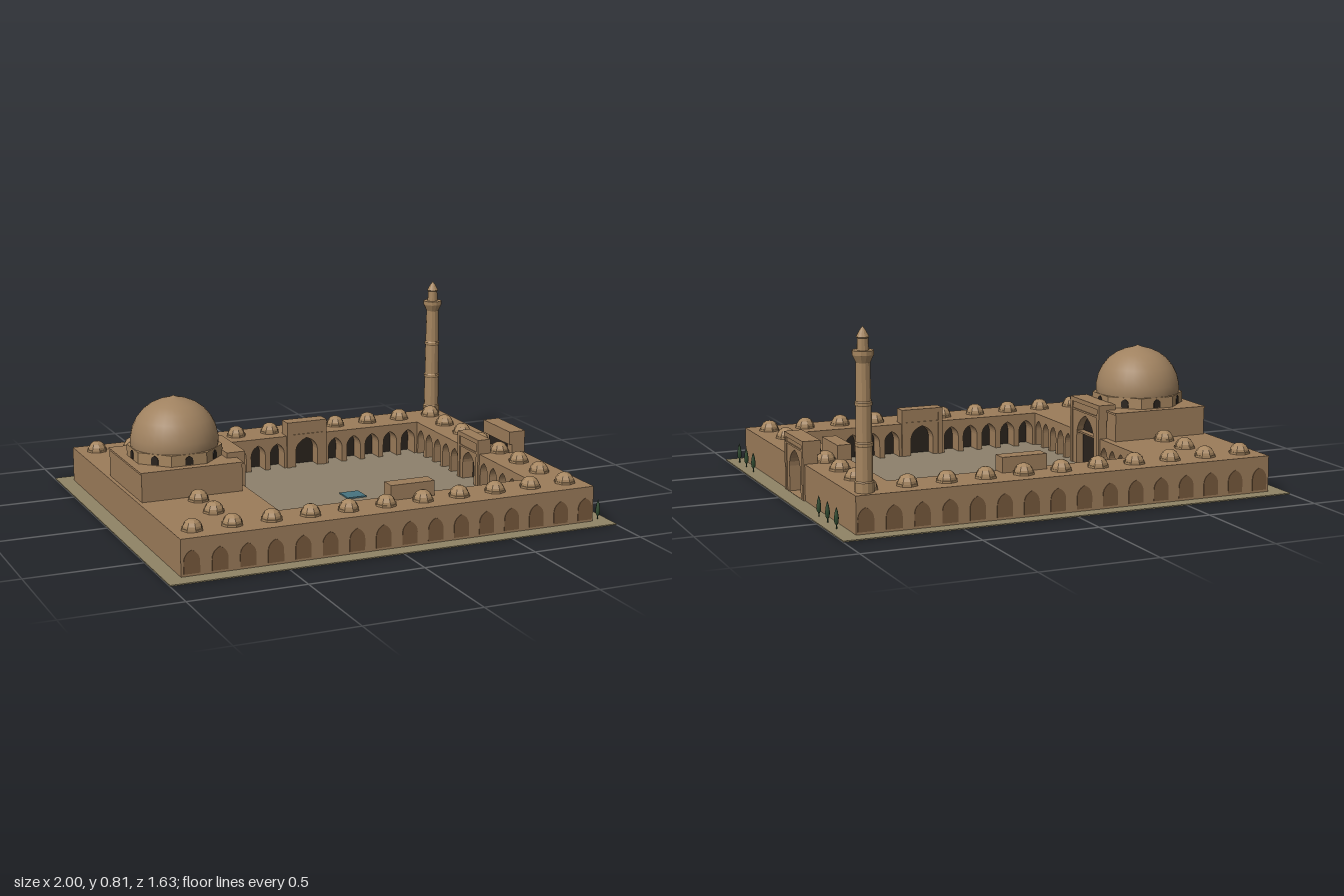
import * as THREE from 'three';

const mat = (color, extra = {}) => new THREE.MeshStandardMaterial({ color, ...extra });
const M = {
  stone: mat(0x9c7c5a),
  facet: mat(0xa5855f, { flatShading: true }),
  dome: mat(0xa08260),
  niche: mat(0x77593c),
  dark: mat(0x2a231d),
  ground: mat(0x908465),
  paving: mat(0x8d816c),
  water: mat(0x47737f),
  leaf: mat(0x2f4a30),
};

function add(parent, name, geo, material, x = 0, y = 0, z = 0) {
  const m = new THREE.Mesh(geo, material);
  m.name = name;
  m.position.set(x, y, z);
  parent.add(m);
  return m;
}

// Box given by its limits
function block(parent, name, material, x0, x1, y0, y1, z0, z1) {
  return add(parent, name, new THREE.BoxGeometry(x1 - x0, y1 - y0, z1 - z0), material,
    (x0 + x1) / 2, (y0 + y1) / 2, (z0 + z1) / 2);
}

// Pointed arch outline: half width w, foot y0, springing ys, apex h
function arch(cx, w, y0, ys, h, Type = THREE.Path) {
  const k = ys + (h - ys) * 0.7;
  const p = new Type();
  p.moveTo(cx - w, y0);
  p.lineTo(cx + w, y0);
  p.lineTo(cx + w, ys);
  p.quadraticCurveTo(cx + w * 0.95, k, cx, h);
  p.quadraticCurveTo(cx - w * 0.95, k, cx - w, ys);
  p.closePath();
  return p;
}

function rect(x0, x1, y0, y1, Type = THREE.Shape) {
  return new Type([[x0, y0], [x1, y0], [x1, y1], [x0, y1]].map(p => new THREE.Vector2(...p)));
}

// Extrusion whose front lies at z = 0
const slab = (shape, depth) =>
  new THREE.ExtrudeGeometry(shape, { depth, bevelEnabled: false, curveSegments: 6 }).translate(0, 0, -depth);

function facing(parent, name, x, z, ry) {
  const g = new THREE.Group();
  g.name = name;
  g.position.set(x, 0, z);
  g.rotation.y = ry;
  parent.add(g);
  return g;
}

// Court wall with a row of arches on both sides of a central opening
function arcade(parent, name, x, z, ry, half, extra, gap, n) {
  const g = facing(parent, name, x, z, ry);
  const wall = rect(-half - extra, half + extra, 0, 0.16);
  wall.holes.push(rect(-gap + 0.012, gap - 0.012, 0.006, 0.152, THREE.Path));
  const pitch = (half - gap) / n;
  for (let i = 0; i < n; i++) for (const s of [-1, 1])
    wall.holes.push(arch(s * (gap + pitch * (i + 0.5)), pitch * 0.37, 0.006, 0.08, 0.128));
  add(g, 'arcadeWall', slab(wall, 0.08), M.stone);
  block(g, 'arcadeShadow', M.dark, -half, half, 0.004, 0.155, -0.08, -0.074);
}

// Tall gateway with a recessed arch and a raised frame
function gateway(parent, name, x, z, ry, half, h, depth, recess, w, apex) {
  const g = facing(parent, name, x, z, ry);
  const face = rect(-half, half, 0, h);
  face.holes.push(arch(0, w, 0.006, apex * 0.58, apex));
  add(g, 'gatewayFace', slab(face, recess), M.stone);
  block(g, 'gatewayBody', M.stone, -half, half, Math.max(apex, 0.152), h, -depth, -recess);
  block(g, 'gatewayShadow', M.dark, -w - 0.01, w + 0.01, 0.004, apex, -recess - 0.004, -recess + 0.002);
  const frame = rect(-half, half, 0.006, h);
  frame.holes.push(rect(-half + 0.02, half - 0.02, 0.007, h - 0.02, THREE.Path));
  add(g, 'gatewayFrame', slab(frame, 0.006), M.stone, 0, 0, 0.005);
  block(g, 'gatewayBand', M.stone, -half + 0.02, half - 0.02, apex + 0.012, apex + 0.02, 0, 0.004);
}

export function createModel() {
  const root = new THREE.Group();
  root.name = 'courtyardMosque';
  const C = { x0: -0.435, x1: 0.72, z0: -0.545, z1: 0.535 };
  const cx = (C.x0 + C.x1) / 2, cz = (C.z0 + C.z1) / 2;

  // Ground, court and pool
  block(root, 'ground', M.ground, -1, 1, 0, 0.005, -0.815, 0.815);
  block(root, 'courtPaving', M.paving, C.x0 - 0.08, C.x1 + 0.08, 0.004, 0.008, C.z0 - 0.08, C.z1 + 0.08);
  block(root, 'pool', M.water, 0.095, 0.185, 0.006, 0.014, -0.05, 0.04);

  // Surrounding wings, notched on the right for the entrance
  const plan = new THREE.Shape([[-0.93, -0.75], [0.925, -0.75], [0.925, -0.12], [0.855, -0.12],
    [0.855, 0.125], [0.925, 0.125], [0.925, 0.742], [-0.93, 0.742]].map(([x, z]) => new THREE.Vector2(x, -z)));
  plan.holes.push(rect(C.x0 - 0.08, C.x1 + 0.08, -C.z1 - 0.08, -C.z0 + 0.08, THREE.Path));
  const wings = new THREE.ExtrudeGeometry(plan, { depth: 0.155, bevelEnabled: false });
  add(root, 'wings', wings.rotateX(-Math.PI / 2), M.stone, 0, 0.005, 0);

  // Court arcades and gateways
  const hx = (C.x1 - C.x0) / 2, hz = (C.z1 - C.z0) / 2, q = Math.PI / 2;
  arcade(root, 'backArcade', cx, C.z0, 0, hx, 0.08, 0.1, 5);
  arcade(root, 'frontArcade', cx, C.z1, Math.PI, hx, 0.08, 0.1, 5);
  arcade(root, 'leftArcade', C.x1, cz, -q, hz, 0, 0.1, 5);
  arcade(root, 'rightArcade', C.x0, cz, q, hz, 0, 0.14, 5);
  gateway(root, 'backGateway', cx, C.z0 + 0.003, 0, 0.1, 0.225, 0.063, 0.06, 0.055, 0.145);
  gateway(root, 'frontGateway', cx, C.z1 - 0.003, Math.PI, 0.1, 0.225, 0.063, 0.06, 0.055, 0.145);
  gateway(root, 'leftGateway', C.x1 - 0.003, cz, -q, 0.1, 0.225, 0.058, 0.055, 0.055, 0.145);
  gateway(root, 'prayerGateway', C.x0 + 0.003, cz, q, 0.143, 0.31, 0.078, 0.034, 0.085, 0.24);
  gateway(root, 'entrance', 0.928, 0.002, q, 0.125, 0.257, 0.073, 0.06, 0.074, 0.198);

  // Blind arches along the outer front and back walls
  const blind = slab(arch(0, 0.034, 0.015, 0.065, 0.112, THREE.Shape), 0.006);
  for (let i = 0; i < 16; i++) {
    const x = -0.885 + i * 0.118;
    add(root, 'blindArch', blind, M.niche, x, 0, 0.745);
    add(root, 'blindArch', blind, M.niche, x, 0, -0.753).rotation.y = Math.PI;
  }

  // Small roof domes
  const small = new THREE.SphereGeometry(0.043, 8, 4, 0, Math.PI * 2, 0, Math.PI / 2);
  const rim = new THREE.CylinderGeometry(0.046, 0.046, 0.012, 8);
  const roofDome = (x, z) => {
    add(root, 'roofDome', small, M.facet, x, 0.163, z);
    add(root, 'roofDomeRim', rim, M.facet, x, 0.163, z);
  };
  for (let i = 0; i < 11; i++) for (const z of [-0.65, 0.64]) roofDome(-0.845 + i * 0.1687, z);
  for (let i = 0; i < 6; i++) {
    const z = -0.46 + i * 0.182;
    roofDome(0.825, z);
    if (i < 2 || i > 3) roofDome(-0.685, z);
  }

  // Prayer hall with octagonal drum and great dome
  const px = -0.693, pz = -0.006;
  block(root, 'prayerHall', M.stone, -0.913, -0.47, 0.15, 0.28, -0.228, 0.215);
  block(root, 'prayerHallCornice', M.stone, -0.917, -0.466, 0.278, 0.287, -0.232, 0.219);
  const drum = new THREE.CylinderGeometry(0.203, 0.203, 0.05, 8).rotateY(Math.PI / 8);
  add(root, 'drum', drum, M.facet, px, 0.31, pz);
  const win = slab(arch(0, 0.017, 0.29, 0.31, 0.328, THREE.Shape), 0.004);
  for (let i = 0; i < 8; i++) {
    const a = i * Math.PI / 4;
    add(root, 'drumWindow', win, M.dark,
      px + Math.sin(a) * 0.19, 0, pz + Math.cos(a) * 0.19).rotation.y = a;
  }
  const profile = [[0.184, 0.325], [0.188, 0.345], [0.187, 0.375], [0.178, 0.415], [0.16, 0.452],
    [0.132, 0.487], [0.098, 0.512], [0.06, 0.529], [0.025, 0.538], [0.01, 0.543], [0, 0.548]];
  add(root, 'greatDome', new THREE.LatheGeometry(profile.map(p => new THREE.Vector2(...p)), 32), M.dome, px, 0, pz);

  // Minaret: ringed shaft, balcony, lantern and pointed cap
  const tower = [[0.039, 0.15], [0.039, 0.2], [0.035, 0.205], [0.034, 0.34], [0.037, 0.345], [0.037, 0.355],
    [0.033, 0.36], [0.032, 0.5], [0.035, 0.505], [0.035, 0.515], [0.031, 0.52], [0.029, 0.67], [0.043, 0.7],
    [0.043, 0.718], [0.024, 0.718], [0.022, 0.765], [0.026, 0.77], [0.014, 0.793], [0, 0.812]];
  add(root, 'minaret', new THREE.LatheGeometry(tower.map(p => new THREE.Vector2(...p)), 12), M.facet, 0.868, 0, -0.692);

  // Cypress trees beside the entrance
  const cypress = [[0.003, 0.005], [0.003, 0.02], [0.009, 0.03], [0.01, 0.05], [0.006, 0.075], [0, 0.093]];
  const tree = new THREE.LatheGeometry(cypress.map(p => new THREE.Vector2(...p)), 8);
  for (const z of [-0.62, -0.512, -0.405, 0.507, 0.616, 0.725]) add(root, 'cypress', tree, M.leaf, 0.96, 0, z);

  return root;
}
